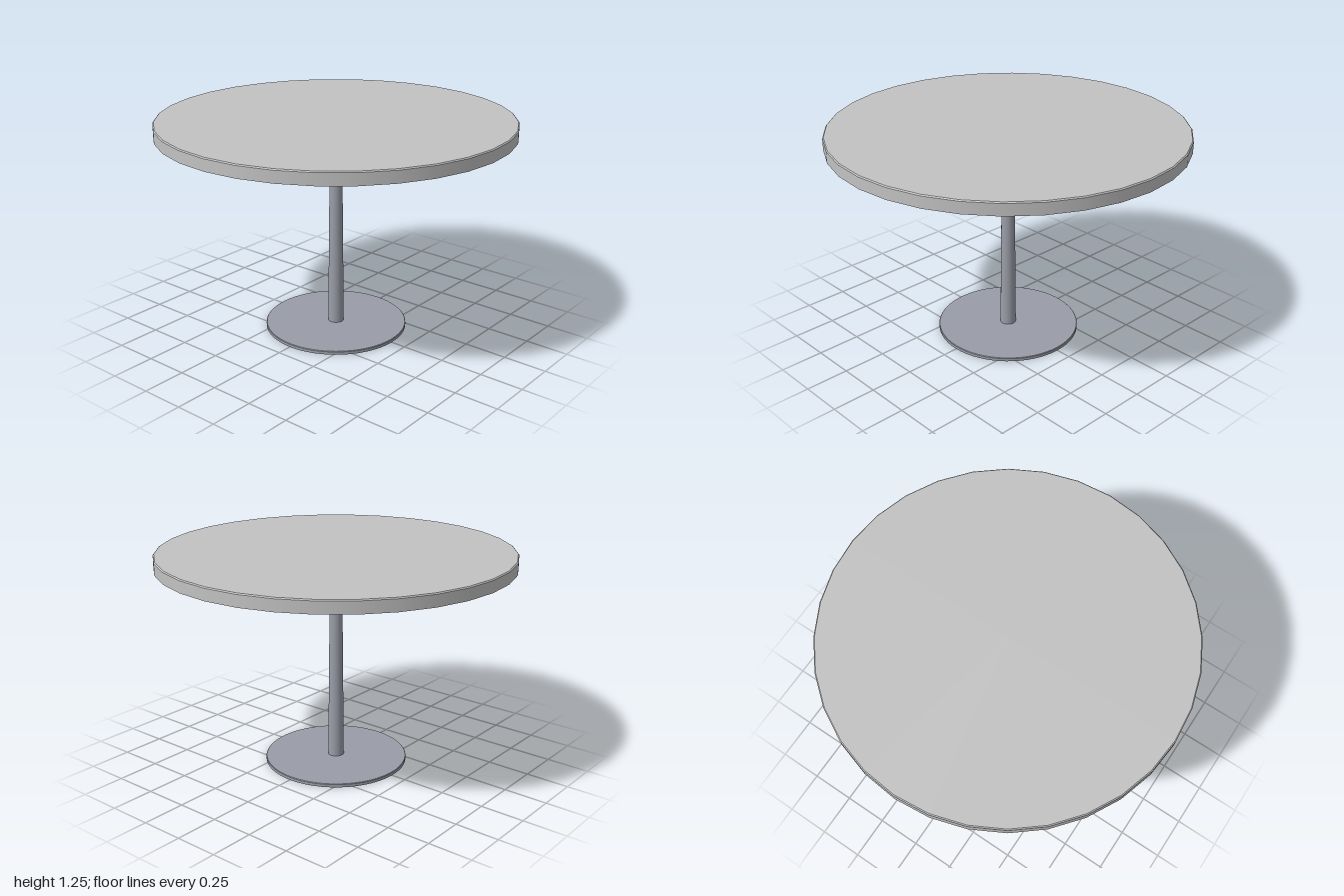
import * as THREE from 'three';

// Turned solid; every profile corner is doubled so its edge stays crisp
function turned(name, profile, segments, material) {
  const points = [];
  profile.forEach(([r, y], i) => {
    points.push(new THREE.Vector2(r, y));
    if (i > 0 && i < profile.length - 1) points.push(new THREE.Vector2(r, y));
  });
  const mesh = new THREE.Mesh(new THREE.LatheGeometry(points, segments), material);
  mesh.name = name;
  return mesh;
}

export function createModel() {
  const topMaterial = new THREE.MeshStandardMaterial({ color: 0xc2c2c2 });
  topMaterial.name = 'light grey';
  const metal = new THREE.MeshStandardMaterial({ color: 0x9a9da8 });
  metal.name = 'blue grey metal';

  const table = new THREE.Group();
  table.name = 'roundTable';

  // Round top with a slim bevel on its upper edge
  table.add(turned('tableTop',
    [[0, 1.178], [1, 1.178], [1, 1.243], [0.994, 1.249], [0, 1.249]], 32, topMaterial));

  // Tapered post
  table.add(turned('post',
    [[0, 0.015], [0.046, 0.015], [0.034, 1.18], [0, 1.18]], 32, metal));

  // Thin foot disc
  table.add(turned('footPlate',
    [[0, 0], [0.411, 0], [0.411, 0.017], [0.408, 0.02], [0, 0.02]], 64, metal));

  return table;
}
